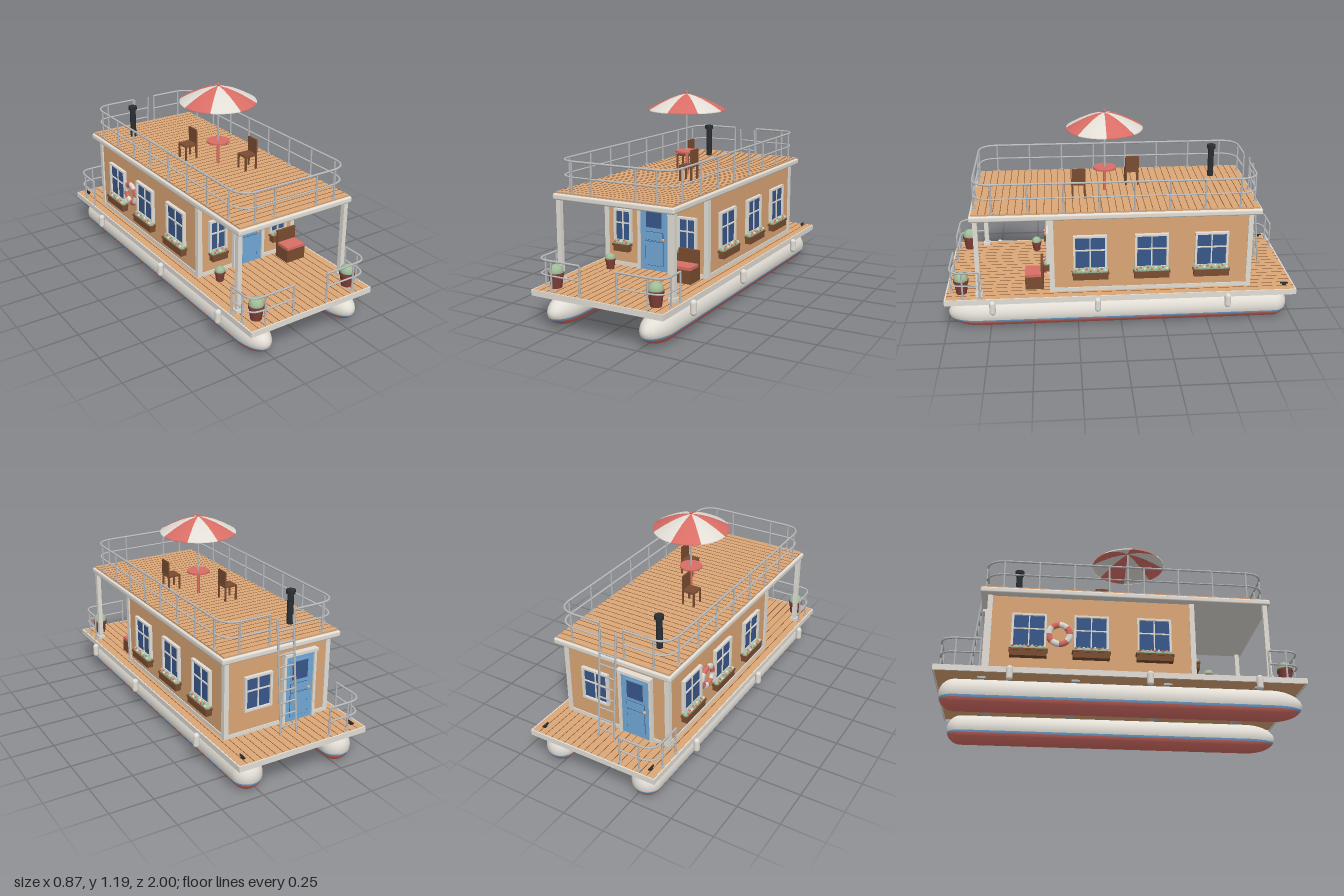
import * as THREE from 'three';
import { RoundedBoxGeometry } from 'three/addons/geometries/RoundedBoxGeometry.js';

const mat = (name, color, side = THREE.FrontSide) => {
  const m = new THREE.MeshStandardMaterial({ color, side });
  m.name = name;
  return m;
};
const M = {
  wood: mat('tan wood', 0xdba676), dark: mat('dark wood', 0x794c30),
  white: mat('off white', 0xe2ded6, THREE.DoubleSide), red: mat('coral red', 0xd96e66, THREE.DoubleSide),
  blue: mat('door blue', 0x72a8d6), glass: mat('window glass', 0x38578a),
  metal: mat('rail metal', 0xb8babc), black: mat('stove black', 0x2a2f33),
  pot: mat('terracotta', 0x803f37), green: mat('leaf green', 0x9fbd99),
};

function add(parent, name, geo, material, x = 0, y = 0, z = 0) {
  const m = new THREE.Mesh(geo, material);
  m.name = name;
  m.position.set(x, y, z);
  parent.add(m);
  return m;
}
const box = (p, n, m, w, h, d, x, y, z) => add(p, n, new THREE.BoxGeometry(w, h, d), m, x, y, z);
const cyl = (p, n, m, rt, rb, h, x, y, z, s = 16) => add(p, n, new THREE.CylinderGeometry(rt, rb, h, s), m, x, y, z);
const ball = (p, n, m, r, x, y, z) => add(p, n, new THREE.SphereGeometry(r, 14, 10), m, x, y, z);
function group(parent, name, x = 0, y = 0, z = 0, ry = 0) {
  const g = new THREE.Group();
  g.name = name;
  g.position.set(x, y, z);
  g.rotation.y = ry;
  parent.add(g);
  return g;
}

// Float: rings along z, cut into level colour bands (extra rings where the stripe edges meet the tips)
const LOW = -0.036, HIGH = -0.024;
function floatBand(y0, y1) {
  const R = 0.086, pos = [], idx = [], N = 18;
  const turns = [Math.asin(-HIGH / R), Math.asin(-LOW / R)];
  for (let i = 0; i <= 14; i++) turns.push(i * Math.PI / 28);
  turns.sort((a, b) => a - b);
  const zs = turns.map(t => [-0.885 - 0.085 * Math.cos(t), R * Math.sin(t)]);
  turns.reverse().forEach(t => zs.push([0.81 + 0.18 * Math.cos(t), R * Math.sin(t)]));
  const ang = (y, r) => Math.asin(THREE.MathUtils.clamp(y / Math.max(r, 1e-5), -1, 1));
  for (const side of [1, -1]) {
    const base = pos.length / 3;
    zs.forEach(([z, r], i) => {
      for (let j = 0; j <= N; j++) {
        const a = THREE.MathUtils.lerp(ang(y0, r), ang(y1, r), j / N);
        pos.push(side * r * Math.cos(a), r * Math.sin(a), z);
        if (i && j) {
          const d = base + i * (N + 1) + j, c = d - 1, b = d - N - 1, e = b - 1;
          if (side > 0) idx.push(e, b, c, b, d, c);
          else idx.push(e, c, b, b, c, d);
        }
      }
    });
  }
  const g = new THREE.BufferGeometry();
  g.setAttribute('position', new THREE.Float32BufferAttribute(pos, 3));
  g.setIndex(idx);
  g.computeVertexNormals();
  return g;
}

// Railing: rounded path, two rails and posts at given spots
function railing(parent, name, pts, r, y, h, posts) {
  const g = group(parent, name, 0, y, 0);
  const path = new THREE.CurvePath();
  const v = pts.map(([x, z]) => new THREE.Vector3(x, 0, z));
  let from = v[0];
  for (let i = 1; i < v.length - 1; i++) {
    const a = v[i].clone().add(v[i - 1].clone().sub(v[i]).setLength(r));
    const b = v[i].clone().add(v[i + 1].clone().sub(v[i]).setLength(r));
    path.add(new THREE.LineCurve3(from, a));
    path.add(new THREE.QuadraticBezierCurve3(a, v[i], b));
    from = b;
  }
  path.add(new THREE.LineCurve3(from, v[v.length - 1]));
  const tube = new THREE.TubeGeometry(path, Math.round(path.getLength() * 45), 0.006, 8);
  add(g, 'topRail', tube, M.metal, 0, h, 0);
  add(g, 'middleRail', tube, M.metal, 0, h / 2, 0).scale.y = 0.7;
  for (const [x, z] of posts) {
    cyl(g, 'railPost', M.metal, 0.0055, 0.0055, h, x, h / 2, z, 8);
    cyl(g, 'railFoot', M.metal, 0.011, 0.011, 0.006, x, 0.003, z, 10);
  }
}

// Window with frame, glazing bars and optional flower box; faces +z
function windowUnit(parent, x, y, z, ry, w, h, boxW) {
  const g = group(parent, 'window', x, y, z, ry), t = 0.012;
  box(g, 'glass', M.glass, w - t, h - t, 0.008, 0, 0, 0.004);
  for (const s of [-1, 1]) {
    box(g, 'frameSide', M.white, t, h, 0.02, s * (w - t) / 2, 0, 0.01);
    box(g, 'frameEnd', M.white, w, t, 0.02, 0, s * (h - t) / 2, 0.01);
  }
  box(g, 'uprightBar', M.white, 0.007, h - t, 0.014, 0, 0, 0.007);
  box(g, 'crossBar', M.white, w - t, 0.007, 0.014, 0, 0.015, 0.007);
  if (!boxW) return;
  const f = group(g, 'flowerBox', 0, -h / 2 - 0.03, 0.021);
  box(f, 'planter', M.dark, boxW, 0.042, 0.036, 0, 0, 0);
  box(f, 'planterLip', M.dark, boxW + 0.01, 0.01, 0.042, 0, 0.016, 0);
  const n = Math.round(boxW / 0.022);
  for (let i = 0; i < n; i++) {
    const px = (i + 0.5 - n / 2) * (boxW - 0.01) / n;
    ball(f, 'leaves', M.green, 0.018, px, 0.027, 0);
    ball(f, 'blossom', i % 3 === 2 ? M.white : M.red, 0.007, px, i % 2 ? 0.041 : 0.035, i % 2 ? 0.008 : 0.014);
  }
}

// Door with panels, pane and knob; faces +z
function door(parent, x, z, ry) {
  const g = group(parent, 'door', x, 0.213, z, ry);
  box(g, 'doorLeaf', M.blue, 0.18, 0.395, 0.012, 0, 0.2, 0.006);
  for (const s of [-1, 1]) box(g, 'doorJamb', M.white, 0.016, 0.4, 0.022, s * 0.097, 0.2, 0.011);
  box(g, 'doorLintel', M.white, 0.212, 0.016, 0.034, 0, 0.404, 0.017);
  box(g, 'paneFrame', M.blue, 0.12, 0.125, 0.006, 0, 0.302, 0.014);
  box(g, 'doorPane', M.glass, 0.1, 0.105, 0.008, 0, 0.302, 0.015);
  for (const [py, h] of [[0.2, 0.05], [0.1, 0.14]]) {
    box(g, 'panelGroove', M.glass, 0.114, h, 0.002, 0, py, 0.0125);
    box(g, 'panel', M.blue, 0.109, h - 0.005, 0.005, 0, py, 0.0135);
  }
  ball(g, 'doorKnob', M.wood, 0.01, 0.06, 0.185, 0.02);
}

function plant(parent, x, z, s) {
  const g = group(parent, 'pottedPlant', x, 0.213, z);
  g.scale.setScalar(s);
  cyl(g, 'pot', M.pot, 0.04, 0.03, 0.075, 0, 0.0375, 0, 20);
  cyl(g, 'potRim', M.pot, 0.043, 0.043, 0.016, 0, 0.075, 0, 20);
  ball(g, 'foliage', M.green, 0.041, 0, 0.086, 0);
}

// High-backed chair facing -x
function chair(parent, x, z) {
  const g = group(parent, 'roofChair', x, 0.708, z);
  box(g, 'chairSeat', M.dark, 0.08, 0.01, 0.08, 0, 0.085, 0);
  for (const s of [-1, 1]) {
    box(g, 'frontLeg', M.dark, 0.009, 0.085, 0.009, -0.035, 0.042, s * 0.035);
    box(g, 'backLeg', M.dark, 0.009, 0.175, 0.009, 0.036, 0.088, s * 0.035);
  }
  box(g, 'chairBack', M.dark, 0.008, 0.085, 0.07, 0.036, 0.135, 0);
}

export function createModel() {
  const root = new THREE.Group();
  root.name = 'houseboat';

  // Floats, beams and fenders
  for (const s of [-1, 1]) {
    const f = group(root, 'float', s * 0.285, 0.086, 0);
    add(f, 'floatBottom', floatBand(-1, LOW), M.red);
    add(f, 'floatStripe', floatBand(LOW, HIGH), M.blue);
    add(f, 'floatTop', floatBand(HIGH, 1), M.white);
    for (const z of [-0.6, 0.14, 0.73])
      add(root, 'fender', new THREE.CapsuleGeometry(0.018, 0.05, 6, 14), M.white, s * 0.418, 0.168, z);
  }
  for (const z of [-0.75, -0.25, 0.25, 0.75]) box(root, 'crossBeam', M.metal, 0.64, 0.012, 0.045, 0, 0.181, z);

  // Lower deck
  box(root, 'deck', M.wood, 0.784, 0.028, 1.984, 0, 0.199, 0);
  for (const s of [-1, 1]) {
    box(root, 'deckSideTrim', M.white, 0.008, 0.032, 2, s * 0.396, 0.196, 0);
    box(root, 'deckEndTrim', M.white, 0.784, 0.032, 0.008, 0, 0.196, s * 0.996);
    const c = group(root, 'cleat', s * 0.345, 0.213, -0.94);
    box(c, 'cleatFoot', M.black, 0.01, 0.012, 0.02, 0, 0.006, 0);
    box(c, 'cleatBar', M.black, 0.008, 0.007, 0.045, 0, 0.014, 0);
  }
  for (let i = -8; i <= 8; i++) box(root, 'deckSeam', M.dark, 0.003, 0.002, 1.984, i * 0.0436, 0.2128, 0);

  // Cabin
  const cabin = group(root, 'cabin');
  box(cabin, 'cabinWalls', M.wood, 0.65, 0.455, 1.14, 0, 0.44, -0.168);
  box(cabin, 'baseboard', M.white, 0.66, 0.022, 1.15, 0, 0.224, -0.168);
  for (const s of [-1, 1]) {
    for (const z of [0.393, -0.729]) box(cabin, 'cornerTrim', M.white, 0.028, 0.455, 0.028, s * 0.32, 0.44, z);
    for (const z of [0.177, -0.17, -0.51]) windowUnit(cabin, s * 0.325, 0.452, z, s * Math.PI / 2, 0.19, 0.21, 0.2);
    windowUnit(cabin, s * 0.207, 0.45, 0.402, 0, 0.115, 0.19, 0.1);
    // Porch posts
    box(root, 'porchPost', M.white, 0.026, 0.455, 0.026, s * 0.347, 0.44, 0.806);
    box(root, 'porchPostFoot', M.white, 0.04, 0.02, 0.04, s * 0.347, 0.223, 0.806);
  }
  door(cabin, 0, 0.402, 0);
  door(cabin, -0.13, -0.738, Math.PI);
  windowUnit(cabin, 0.13, 0.45, -0.738, Math.PI, 0.17, 0.2, 0);

  // Lifebuoy in alternating segments
  const buoy = group(cabin, 'lifebuoy', -0.336, 0.44, -0.345, -Math.PI / 2);
  buoy.scale.z = 0.7;
  for (let i = 0; i < 8; i++)
    add(buoy, 'buoySegment', new THREE.TorusGeometry(0.057, 0.018, 12, 8, Math.PI / 4), i % 2 ? M.white : M.red).rotation.z = i * Math.PI / 4;

  // Roof deck
  add(root, 'roofSlab', new RoundedBoxGeometry(0.738, 0.034, 1.624, 3, 0.01), M.white, 0, 0.682, 0.027);
  box(root, 'roofPlanks', M.wood, 0.71, 0.012, 1.596, 0, 0.702, 0.027);
  for (let i = -19; i <= 19; i++) box(root, 'roofSeam', M.dark, 0.71, 0.002, 0.003, 0, 0.7078, 0.027 + i * 0.04);

  // Railings
  const roofPosts = [];
  for (const s of [-1, 1]) {
    for (const z of [-0.76, 0.815]) roofPosts.push([s * 0.257, z]);
    roofPosts.push([s * 0.075, -0.76], [s * 0.135, 0.815]);
    for (let i = 0; i < 8; i++) roofPosts.push([s * 0.345, -0.66 + i * 0.196]);
    railing(root, 'frontRailing', [[s * 0.383, 0.8], [s * 0.383, 0.967], [s * 0.108, 0.967]], 0.07, 0.213, 0.16,
      [[s * 0.383, 0.8], [s * 0.383, 0.895], [s * 0.292, 0.967], [s * 0.112, 0.967]]);
  }
  railing(root, 'roofRailing', [[0.075, -0.76], [0.345, -0.76], [0.345, 0.815], [-0.345, 0.815], [-0.345, -0.76], [-0.075, -0.76]],
    0.11, 0.708, 0.166, roofPosts);
  railing(root, 'backRailing', [[-0.383, -0.755], [-0.383, -0.972], [-0.17, -0.972]], 0.08, 0.213, 0.16,
    [[-0.383, -0.76], [-0.383, -0.89], [-0.292, -0.972], [-0.174, -0.972]]);

  // Leaning ladder
  const ladder = group(root, 'ladder', 0, 0.213, -0.852);
  ladder.rotation.x = Math.atan2(0.065, 0.645);
  for (const s of [-1, 1]) cyl(ladder, 'ladderRail', M.metal, 0.006, 0.006, 0.648, s * 0.05, 0.324, 0, 8);
  for (let i = 0; i < 9; i++) cyl(ladder, 'rung', M.metal, 0.005, 0.005, 0.1, 0, 0.05 + i * 0.066, 0, 8).rotation.z = Math.PI / 2;

  // Stove pipe
  cyl(root, 'stovePipe', M.black, 0.018, 0.018, 0.18, -0.178, 0.798, -0.58);
  cyl(root, 'pipeCap', M.black, 0.026, 0.026, 0.022, -0.178, 0.893, -0.58);

  // Table, parasol and roof chairs
  const set = group(root, 'parasolTable', 0.018, 0.708, 0.075);
  cyl(set, 'tableTop', M.red, 0.066, 0.066, 0.01, 0, 0.137, 0, 32);
  cyl(set, 'tableLeg', M.red, 0.009, 0.009, 0.135, 0, 0.067, 0);
  cyl(set, 'parasolPole', M.metal, 0.0055, 0.0055, 0.46, 0, 0.23, 0, 10);
  const profile = [[0.218, 0.374], [0.218, 0.38], [0.16, 0.412], [0.1, 0.44], [0.05, 0.457], [0.0005, 0.468]].map(([r, y]) => new THREE.Vector2(r, y));
  for (let i = 0; i < 8; i++)
    add(set, 'canopyPanel', new THREE.LatheGeometry(profile, 6, i * Math.PI / 4, Math.PI / 4), i % 2 ? M.white : M.red);
  ball(set, 'parasolFinial', M.red, 0.009, 0, 0.473, 0).scale.y = 1.3;
  chair(root, -0.083, -0.09);
  chair(root, 0.115, 0.23);

  // Porch armchair
  const seat = group(root, 'porchChair', 0.24, 0.213, 0.495);
  box(seat, 'chairBase', M.dark, 0.125, 0.075, 0.105, 0, 0.042, 0);
  box(seat, 'chairCushion', M.red, 0.12, 0.016, 0.095, 0, 0.088, 0.005);
  box(seat, 'chairBackrest', M.dark, 0.125, 0.095, 0.014, 0, 0.122, -0.045);

  // Potted plants
  plant(root, -0.305, 0.908, 1);
  plant(root, 0.305, 0.908, 1);
  plant(root, -0.245, 0.49, 0.7);
  return root;
}
